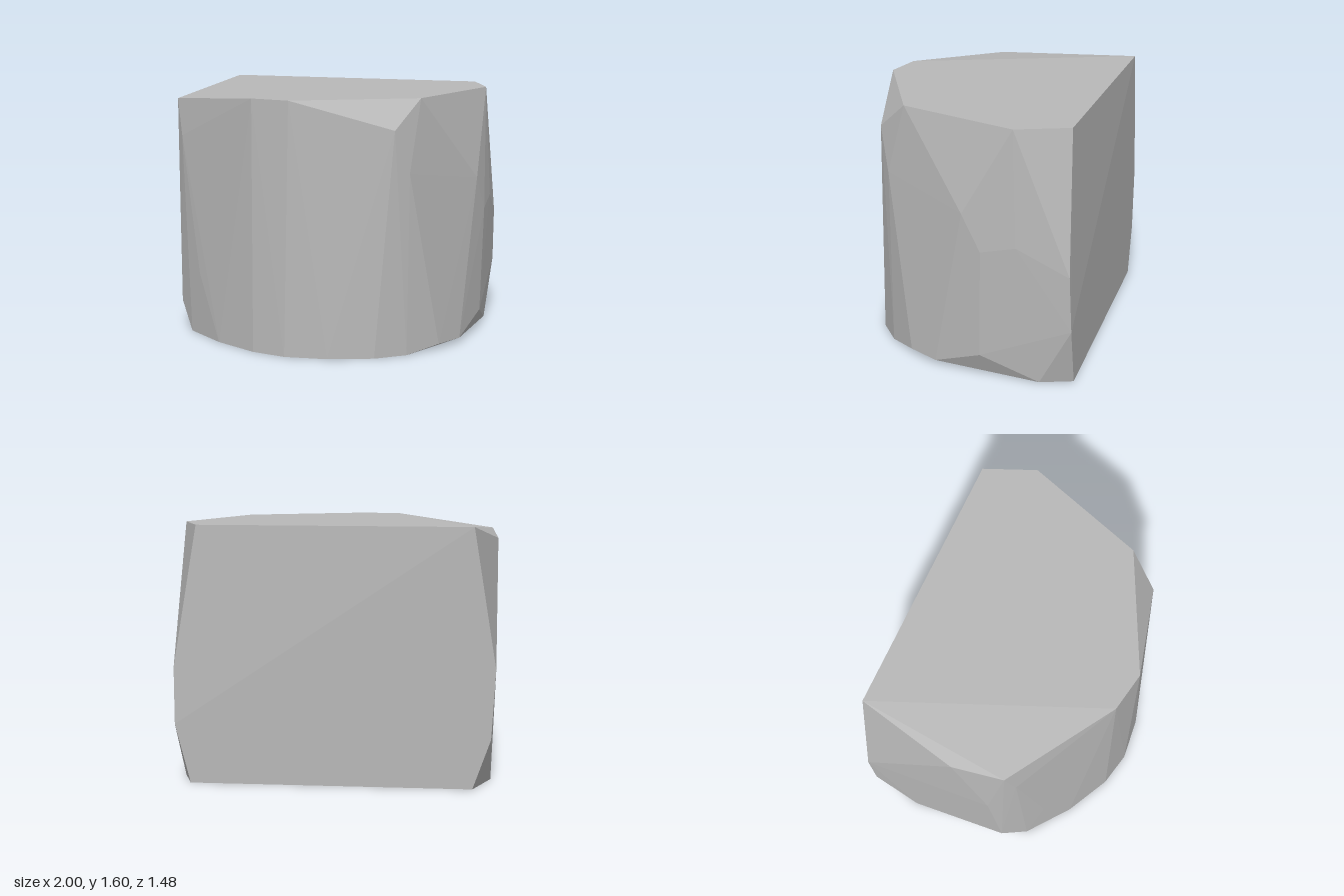
import * as THREE from 'three';
import { ConvexGeometry } from 'three/addons/geometries/ConvexGeometry.js';

export function createModel() {
  const group = new THREE.Group();
  const stone = new THREE.MeshStandardMaterial({ color: 0xb8b8b8 });
  stone.name = 'stone grey';

  // Corner rings of the faceted, D-shaped block
  const top = [
    [-0.855, -0.74], [0.84, -0.695], [0.965, -0.37],
    [0.68, 0.39], [-0.07, 0.725], [-0.32, 0.67],
  ].map(([x, z]) => [x, 1.6, z]);

  const bottom = [
    [-0.86, -0.74], [-0.97, -0.465], [-0.86, 0.315], [-0.6, 0.53],
    [-0.32, 0.685], [-0.1, 0.74], [0.17, 0.72], [0.45, 0.635],
    [0.63, 0.51], [0.955, -0.54], [0.885, -0.74],
  ].map(([x, z]) => [x, 0, z]);

  // Chipped corners just below the top and just above the base
  const chips = [
    [-0.965, 1.535, 0.22], [-1, 1.49, -0.11], [0.56, 1.42, 0.585],
    [0.8, 0.035, 0.33], [0.9, 0.03, 0.14], [0.98, 0.145, -0.17],
    [-0.975, 0.17, 0.18],
  ];

  // Slight bulges around the sides
  const bulges = [
    [-0.995, 0.74, -0.74], [-0.97, 0.31, -0.74], [-1, 0.9, 0.11],
    [-0.92, 1.3, 0.275], [-0.77, 0.42, 0.4], [0.64, 1.15, 0.515],
    [0.965, 1.05, -0.055], [0.997, 0.83, -0.18], [1, 0.88, -0.4],
    [0.985, 0.72, -0.725], [0.98, 0.37, -0.74],
  ];

  const points = [...top, ...bottom, ...chips, ...bulges].map(p => new THREE.Vector3(...p));
  const block = new THREE.Mesh(new ConvexGeometry(points), stone);
  block.name = 'stoneBlock';
  group.add(block);
  return group;
}
